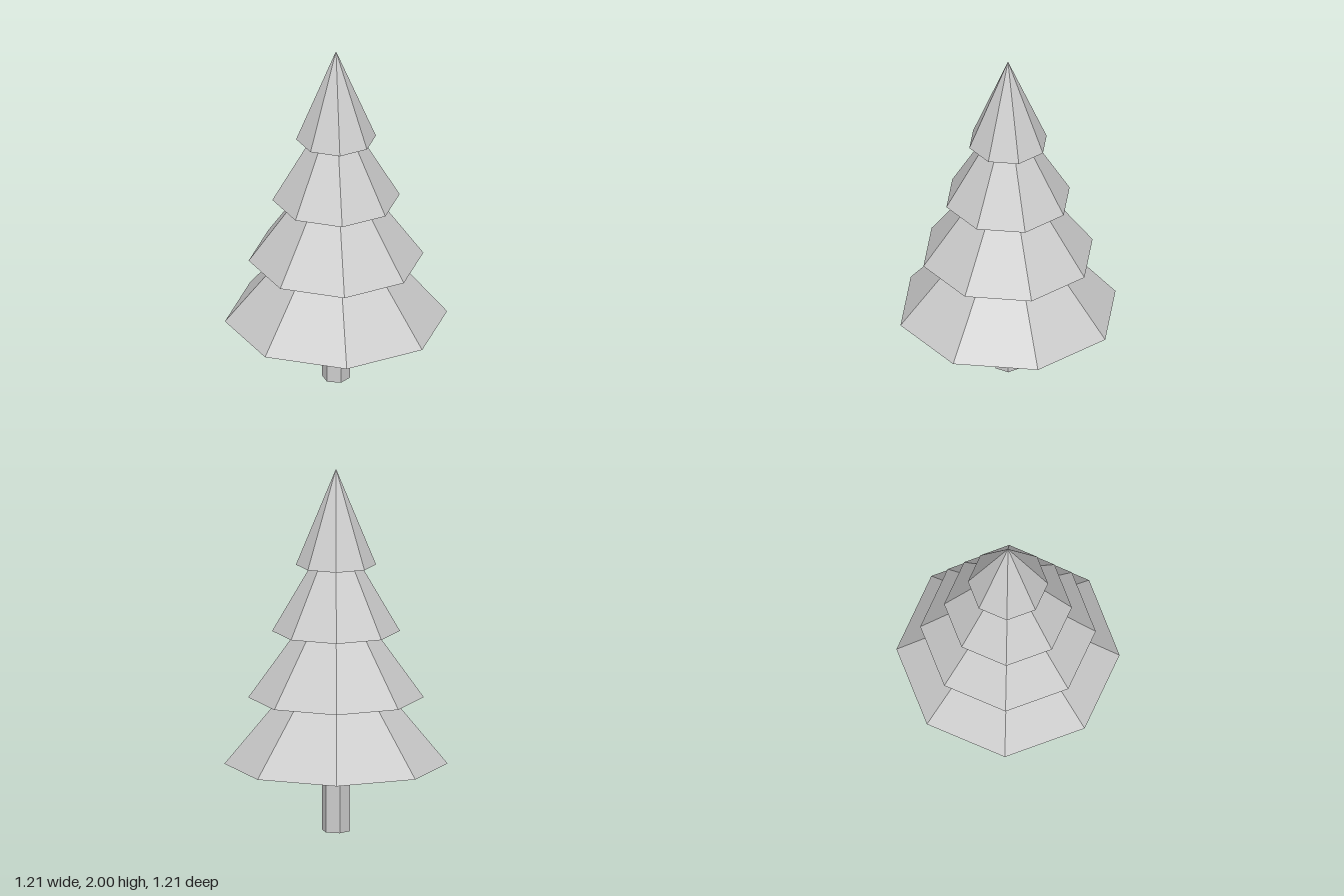
import * as THREE from 'three';

export function createModel() {
  const model = new THREE.Group();
  model.name = 'pineTree';

  const grey = new THREE.MeshStandardMaterial({ color: 0xcccccc, flatShading: true });
  grey.name = 'lightGrey';

  // Six-sided trunk with a flat face to the front
  const trunkHeight = 0.37;
  const trunkGeometry = new THREE.CylinderGeometry(0.077, 0.077, trunkHeight, 6);
  trunkGeometry.rotateY(Math.PI / 6);
  const trunk = new THREE.Mesh(trunkGeometry, grey);
  trunk.name = 'trunk';
  trunk.position.y = trunkHeight / 2;
  model.add(trunk);

  // Four overlapping eight-sided tiers, shrinking evenly to the tip
  for (let i = 0; i < 4; i++) {
    const radius = 0.604 - 0.129 * i;
    const height = 0.73 - 0.0667 * i;
    const base = trunkHeight + 0.3667 * i;
    const tier = new THREE.Mesh(new THREE.ConeGeometry(radius, height, 8), grey);
    tier.name = `foliageTier${i + 1}`;
    tier.position.y = base + height / 2;
    model.add(tier);
  }

  return model;
}
